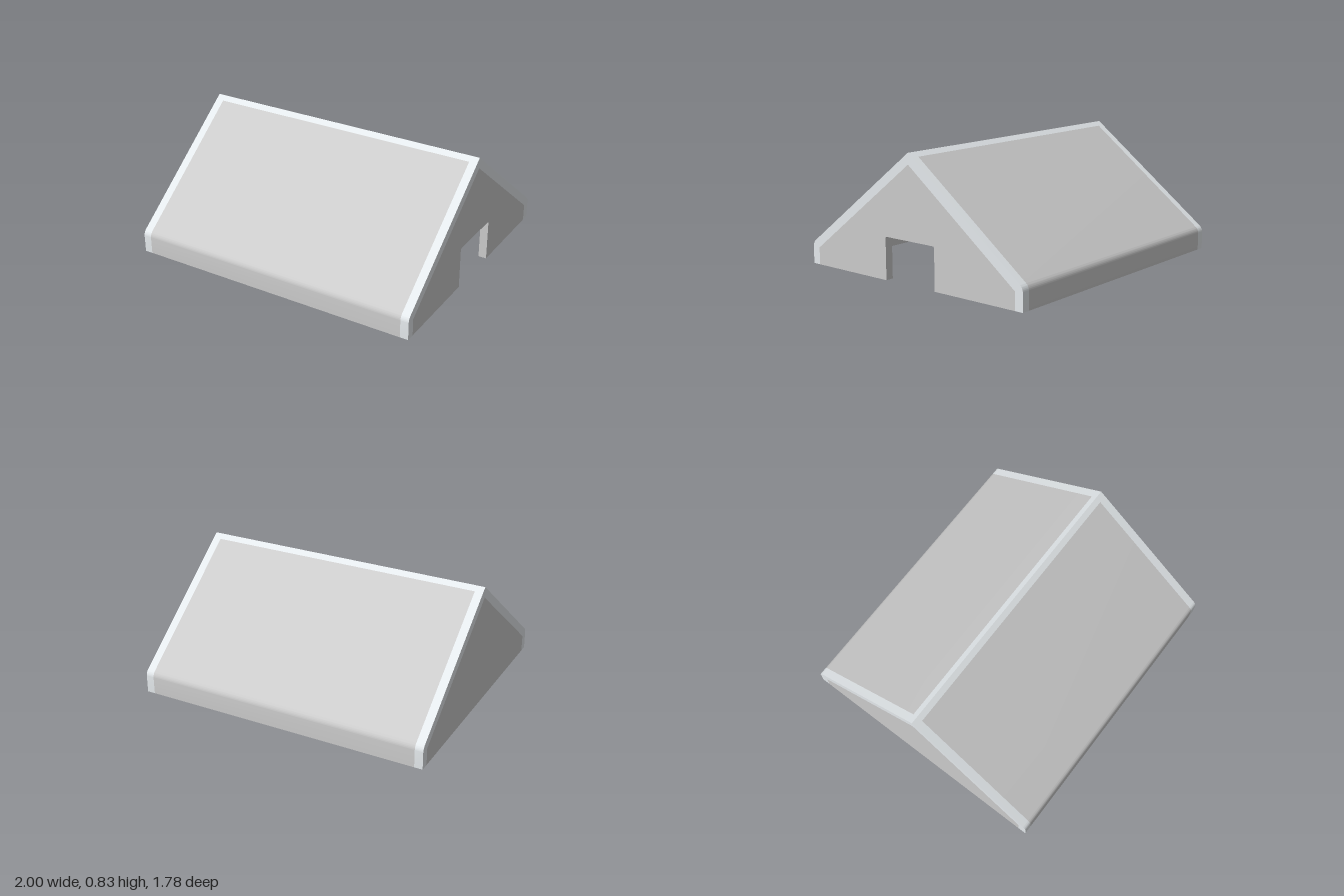
import * as THREE from 'three';
import { toCreasedNormals } from 'three/addons/utils/BufferGeometryUtils.js';

const T = 0.057;                 // shell thickness
const EAVE = [0.833, 0.115];     // inner corner between side wall and slope
const PEAK = 0.755;              // inner ridge height
const END = 0.945;               // inner face of the end walls
const SLOPE = Math.atan2(EAVE[0], PEAK - EAVE[1]); // elevation of the slope's normal

// Outer outline of one side, from the foot up round the eave
function outerSide(steps = 12) {
  const pts = [[EAVE[0] + T, 0]];
  for (let i = 0; i <= steps; i++) {
    const a = SLOPE * i / steps;
    pts.push([EAVE[0] + T * Math.cos(a), EAVE[1] + T * Math.sin(a)]);
  }
  return pts;
}

const mirror = pts => pts.map(([x, y]) => [-x, y]);
const toShape = pts => new THREE.Shape(pts.map(([x, y]) => new THREE.Vector2(x, y)));

// Extrude a cross-section along the ridge direction from x0 to x1
function extrude(name, pts, x0, x1, material) {
  const raw = new THREE.ExtrudeGeometry(toShape(pts), { depth: x1 - x0, bevelEnabled: false });
  raw.rotateY(Math.PI / 2).translate(x0, 0, 0);
  const mesh = new THREE.Mesh(toCreasedNormals(raw, 0.4), material);
  mesh.name = name;
  return mesh;
}

export function createModel() {
  const group = new THREE.Group();
  group.name = 'shelter';
  const panel = new THREE.MeshStandardMaterial({ color: 0xcccccc });
  const trim = new THREE.MeshStandardMaterial({ color: 0xe4e9ec });

  const outer = outerSide();
  const apex = [0, PEAK + T / Math.sin(SLOPE)];
  const ridgeEdge = [T * Math.cos(SLOPE), PEAK + T * Math.sin(SLOPE)];
  const innerSide = [[0, PEAK], EAVE, [EAVE[0], 0]];

  // Sloping roof panels with rounded eaves
  const roof = [...outer, ridgeEdge, ...innerSide];
  group.add(extrude('backRoofPanel', roof, -END, END, panel));
  group.add(extrude('frontRoofPanel', mirror(roof), -END, END, panel));

  // Ridge strip
  const ridge = [[0, PEAK], ridgeEdge, apex, mirror([ridgeEdge])[0]];
  group.add(extrude('ridgeTrim', ridge, -END, END, trim));

  // Arched trim at both ends
  const arch = [
    ...outer, apex, ...mirror(outer).reverse(),
    [-EAVE[0], 0], [-EAVE[0], EAVE[1]], ...innerSide,
  ];
  group.add(extrude('leftEndTrim', arch, END, 1, trim));
  group.add(extrude('rightEndTrim', arch, -1, -END, trim));

  // End walls, one with a doorway
  const gable = [[EAVE[0], 0], EAVE, [0, PEAK], [-EAVE[0], EAVE[1]], [-EAVE[0], 0]];
  const w = 0.207, h = 0.28, c = 0.008;
  const doorway = [[-w, 0], [-w, h - c], [-w + c, h], [w - c, h], [w, h - c], [w, 0]];
  group.add(extrude('doorEndWall', [...gable, ...doorway], END, 1, panel));
  group.add(extrude('plainEndWall', gable, -1, -END, panel));

  return group;
}
